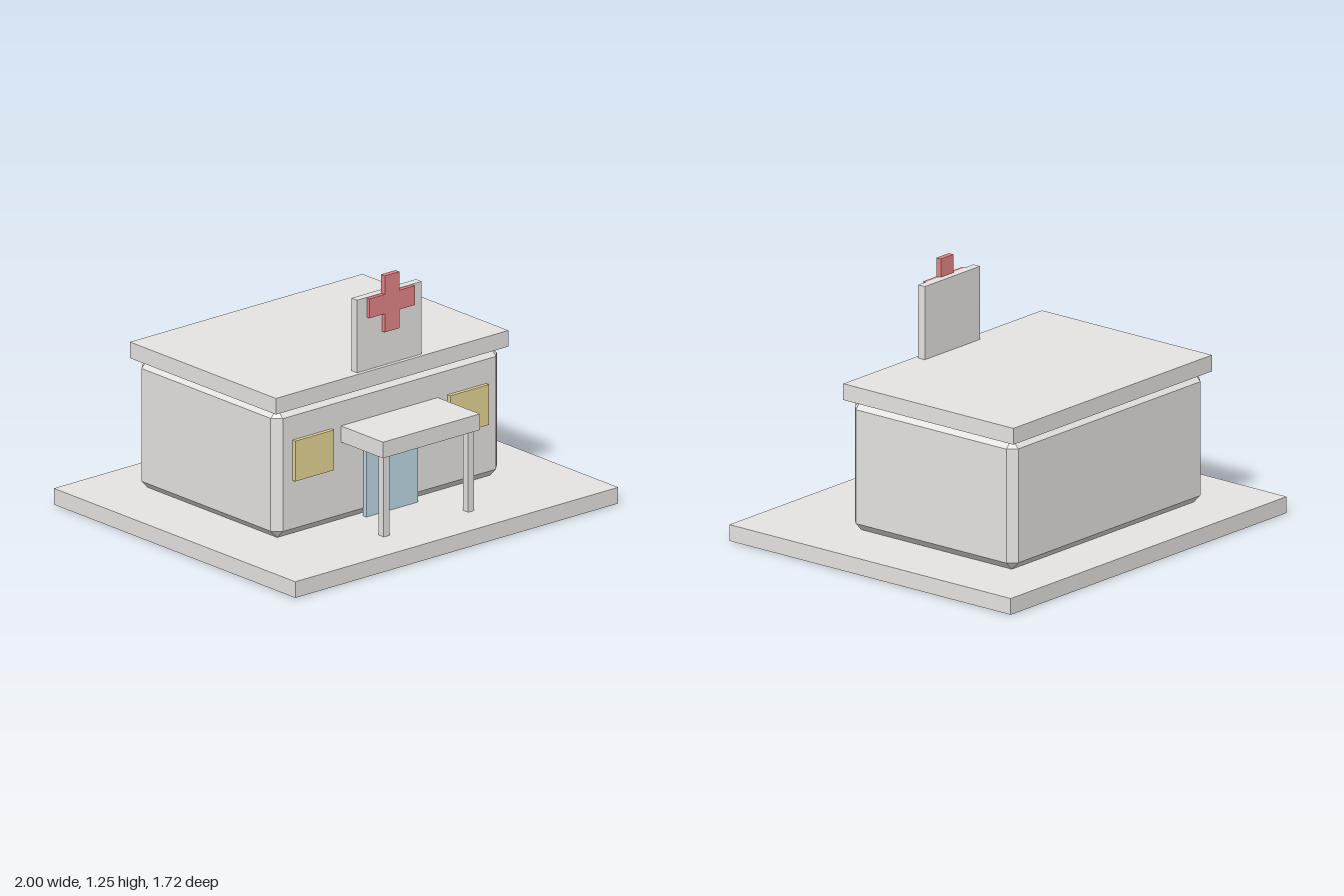
import * as THREE from 'three';
import { ConvexGeometry } from 'three/addons/geometries/ConvexGeometry.js';

const material = (name, color) => {
  const m = new THREE.MeshStandardMaterial({ color });
  m.name = name;
  return m;
};

// Box with every edge cut off at 45 degrees
function chamferedBox(w, h, d, c) {
  const points = [];
  for (const x of [-1, 1]) for (const y of [-1, 1]) for (const z of [-1, 1]) {
    const p = [x * w / 2, y * h / 2, z * d / 2];
    const q = [x * (w / 2 - c), y * (h / 2 - c), z * (d / 2 - c)];
    points.push(
      new THREE.Vector3(p[0], q[1], q[2]),
      new THREE.Vector3(q[0], p[1], q[2]),
      new THREE.Vector3(q[0], q[1], p[2]));
  }
  return new ConvexGeometry(points);
}

export function createModel() {
  const model = new THREE.Group();
  model.name = 'clinic';
  const plaster = material('plaster', 0xe6e4e1);
  const glass = material('doorGlass', 0xbfdae5);
  const light = material('windowLight', 0xe6d596);
  const red = material('signRed', 0xe48586);

  // Box given by its extents on each axis
  const box = (name, mat, [x0, x1], [y0, y1], [z0, z1], parent = model) => {
    const mesh = new THREE.Mesh(new THREE.BoxGeometry(x1 - x0, y1 - y0, z1 - z0), mat);
    mesh.position.set((x0 + x1) / 2, (y0 + y1) / 2, (z0 + z1) / 2);
    mesh.name = name;
    parent.add(mesh);
  };

  // Ground slab, walls and flat roof
  box('groundSlab', plaster, [-1, 1], [0, 0.08], [-0.86, 0.86]);
  const walls = new THREE.Mesh(chamferedBox(1.4, 0.64, 1, 0.04), plaster);
  walls.position.set(0, 0.4, -0.12);
  walls.name = 'walls';
  model.add(walls);
  box('roof', plaster, [-0.72, 0.72], [0.72, 0.8], [-0.64, 0.4]);

  // Entrance door and canopy
  box('door', glass, [-0.16, 0.16], [0.08, 0.44], [0.375, 0.4]);
  box('canopy', plaster, [-0.3, 0.3], [0.48, 0.56], [0.38, 0.68]);

  // Windows and canopy posts, one per side
  for (const [side, s] of [['left', 1], ['right', -1]]) {
    const span = (a, b) => (s > 0 ? [a, b] : [-b, -a]);
    box(side + 'Window', light, span(0.36, 0.6), [0.36, 0.56], [0.375, 0.4]);
    box(side + 'Post', plaster, span(0.243, 0.28), [0.08, 0.48], [0.625, 0.662]);
  }

  // Roof sign with a cross
  box('signBoard', plaster, [-0.2, 0.2], [0.8, 1.16], [0.34, 0.38]);
  const cross = new THREE.Group();
  cross.name = 'cross';
  model.add(cross);
  box('crossUpright', red, [-0.045, 0.045], [0.97, 1.25], [0.372, 0.4], cross);
  for (const s of [-1, 1]) {
    const x = s > 0 ? [0.045, 0.14] : [-0.14, -0.045];
    box(s > 0 ? 'leftCrossArm' : 'rightCrossArm', red, x, [1.062, 1.158], [0.376, 0.4], cross);
  }
  return model;
}
